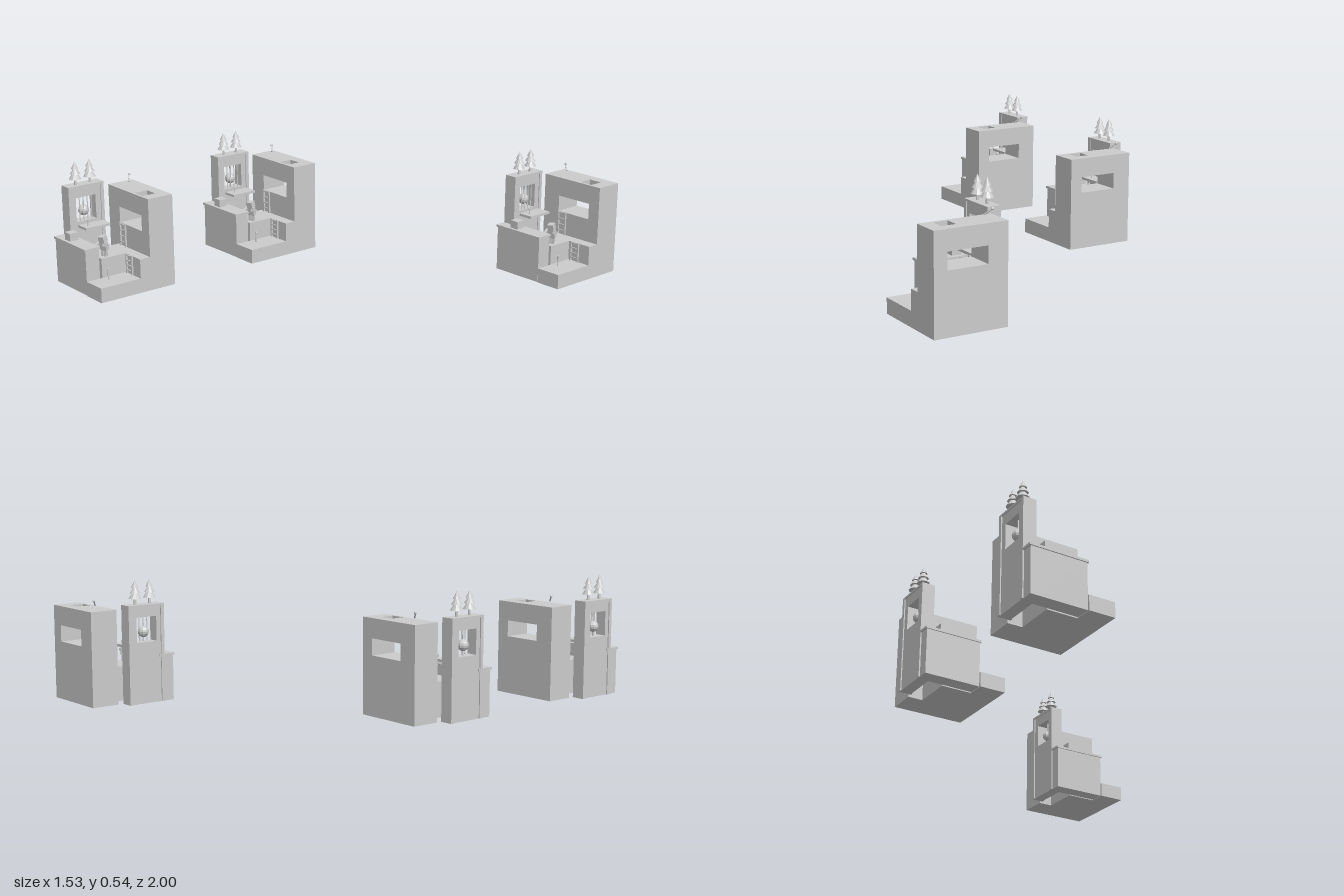
import * as THREE from 'three';

const material = new THREE.MeshStandardMaterial({ color: 0xcccccc, flatShading: true });

function add(parent, name, geometry, position = [0, 0, 0], rotation = [0, 0, 0]) {
  const mesh = new THREE.Mesh(geometry, material);
  mesh.name = name;
  mesh.position.set(...position);
  mesh.rotation.set(...rotation);
  parent.add(mesh);
  return mesh;
}

// Box given by its lower and upper corners
function box(parent, name, [x0, y0, z0], [x1, y1, z1]) {
  return add(parent, name, new THREE.BoxGeometry(x1 - x0, y1 - y0, z1 - z0),
    [(x0 + x1) / 2, (y0 + y1) / 2, (z0 + z1) / 2]);
}

function rect(Type, u0, v0, u1, v1) {
  const s = new Type();
  s.moveTo(u0, v0);
  s.lineTo(u1, v0);
  s.lineTo(u1, v1);
  s.lineTo(u0, v1);
  s.closePath();
  return s;
}

function extrude(shape, depth) {
  return new THREE.ExtrudeGeometry(shape, { depth, bevelEnabled: false });
}

// Thin rod with a ball at its far end
function pin(parent, name, from, to, r, ball) {
  const a = new THREE.Vector3(...from), b = new THREE.Vector3(...to);
  const g = new THREE.Group();
  g.name = name;
  const rod = add(g, 'rod', new THREE.CylinderGeometry(r, r, a.distanceTo(b), 8));
  rod.position.copy(a).lerp(b, 0.5);
  rod.quaternion.setFromUnitVectors(new THREE.Vector3(0, 1, 0), b.clone().sub(a).normalize());
  add(g, 'knob', new THREE.SphereGeometry(ball, 8, 6), to);
  parent.add(g);
}

function ladder(parent, x0, x1, y0, y1, z, rungs) {
  const g = new THREE.Group();
  g.name = 'ladder';
  for (const x of [x0, x1 - 0.006]) box(g, 'rail', [x, y0, z], [x + 0.006, y1, z + 0.008]);
  for (let i = 0; i < rungs; i++) {
    const y = y0 + (y1 - y0) * (i + 0.6) / rungs;
    box(g, 'rung', [x0, y, z + 0.001], [x1, y + 0.005, z + 0.007]);
  }
  parent.add(g);
}

function tree(parent, x, y, z) {
  const g = new THREE.Group();
  g.name = 'tree';
  g.position.set(x, y, z);
  add(g, 'trunk', new THREE.CylinderGeometry(0.005, 0.006, 0.035, 8), [0, 0.0175, 0]);
  [[0.028, 0.026, 0.042], [0.023, 0.05, 0.036], [0.016, 0.073, 0.032]].forEach(([r, base, h], i) =>
    add(g, 'foliage', new THREE.ConeGeometry(r, h, 10), [0, base + h / 2, 0], [0, i * 0.3, 0]));
  parent.add(g);
}

function createUnit() {
  const unit = new THREE.Group();
  unit.name = 'buildingUnit';

  // Back block: U-shaped body below a lintel pierced by a shaft
  const zBack = -0.192, zFront = -0.066, xl = -0.131, xr = 0.187;
  const body = new THREE.Shape();
  [[xl, 0], [xr, 0], [xr, 0.33], [0.13, 0.33], [0.13, 0.258], [-0.045, 0.258], [-0.045, 0.33], [xl, 0.33]]
    .forEach(([x, y], i) => (i ? body.lineTo(x, y) : body.moveTo(x, y)));
  add(unit, 'backBlock', extrude(body, zFront - zBack), [0, 0, zBack]);
  const roof = rect(THREE.Shape, xl, -zFront, xr, -zBack);
  roof.holes.push(rect(THREE.Path, 0.065, 0.08, 0.128, 0.143));
  add(unit, 'roof', extrude(roof, 0.085), [0, 0.33, 0], [-Math.PI / 2, 0, 0]);
  pin(unit, 'roofLever', [-0.062, 0.432, -0.13], [-0.087, 0.456, -0.15], 0.003, 0.006);

  // Stepped floors
  box(unit, 'platform', [-0.066, 0, zFront], [0.07, 0.153, 0.108]);
  box(unit, 'landing', [0.07, 0, zFront], [0.187, 0.153, -0.014]);
  box(unit, 'lowStep', [0.07, 0, -0.014], [0.187, 0.066, 0.187]);
  ladder(unit, 0.082, 0.13, 0.066, 0.156, -0.014, 4);
  ladder(unit, -0.043, 0.003, 0.153, 0.262, zFront, 4);
  pin(unit, 'stepPost', [0.103, 0.066, 0.097], [0.103, 0.112, 0.097], 0.003, 0.005);

  // Counter with a crate
  box(unit, 'counter', [-0.184, 0, 0.117], [0.066, 0.2, 0.184]);
  box(unit, 'counterTop', [-0.19, 0.2, 0.113], [0.07, 0.21, 0.189]);
  box(unit, 'crate', [-0.117, 0.21, 0.133], [-0.074, 0.245, 0.175]);

  // Tower with a barred opening; shape is drawn in z and y
  const wall = rect(THREE.Shape, -0.04, 0, 0.133, 0.425);
  wall.holes.push(rect(THREE.Path, 0, 0.27, 0.1, 0.38));
  const tower = new THREE.Group();
  tower.name = 'tower';
  add(tower, 'towerWall', extrude(wall, 0.05), [-0.135, 0, 0], [0, -Math.PI / 2, 0]);
  for (const z of [-0.042, 0.121]) box(tower, 'pillar', [-0.19, 0, z], [-0.131, 0.425, z + 0.016]);
  box(tower, 'towerTop', [-0.19, 0.425, -0.042], [-0.131, 0.434, 0.137]);
  for (let i = 1; i <= 4; i++) {
    add(tower, 'bar', new THREE.CylinderGeometry(0.0025, 0.0025, 0.11, 6), [-0.14, 0.325, i * 0.02]);
  }
  add(tower, 'lantern', new THREE.SphereGeometry(0.025, 10, 8), [-0.158, 0.313, 0.05]);
  add(tower, 'lanternRod', new THREE.CylinderGeometry(0.003, 0.003, 0.11, 6), [-0.158, 0.325, 0.05]);
  for (const z of [0.01, 0.083]) tree(tower, -0.16, 0.434, z);
  unit.add(tower);

  // Shelf on the tower with a small post
  box(unit, 'shelf', [-0.135, 0.245, -0.03], [-0.068, 0.256, 0.095]);
  pin(unit, 'shelfPost', [-0.104, 0.256, 0.065], [-0.104, 0.28, 0.065], 0.003, 0.004);

  // Blocky figure standing behind the counter
  const figure = new THREE.Group();
  figure.name = 'figure';
  figure.position.set(0.042, 0.153, 0.075);
  figure.rotation.y = 0.35;
  for (const x of [-0.008, 0.008]) box(figure, 'leg', [x - 0.006, 0, -0.006], [x + 0.006, 0.03, 0.006]);
  add(figure, 'torso', new THREE.BoxGeometry(0.032, 0.04, 0.02), [0, 0.047, 0], [0.2, 0, 0]);
  add(figure, 'head', new THREE.BoxGeometry(0.028, 0.026, 0.028), [0, 0.08, 0.006], [0.2, 0, 0.1]);
  for (const s of [-1, 1]) {
    add(figure, 'arm', new THREE.BoxGeometry(0.01, 0.012, 0.038), [s * 0.021, 0.056, 0.014], [-0.3 * s, 0, 0]);
  }
  unit.add(figure);
  return unit;
}

export function createModel() {
  const model = new THREE.Group();
  model.name = 'buildingSet';
  // Three identical units
  for (const [x, z] of [[-0.575, 0], [-0.575, 0.808], [0.575, -0.808]]) {
    const unit = createUnit();
    unit.position.set(x, 0, z);
    model.add(unit);
  }
  return model;
}
